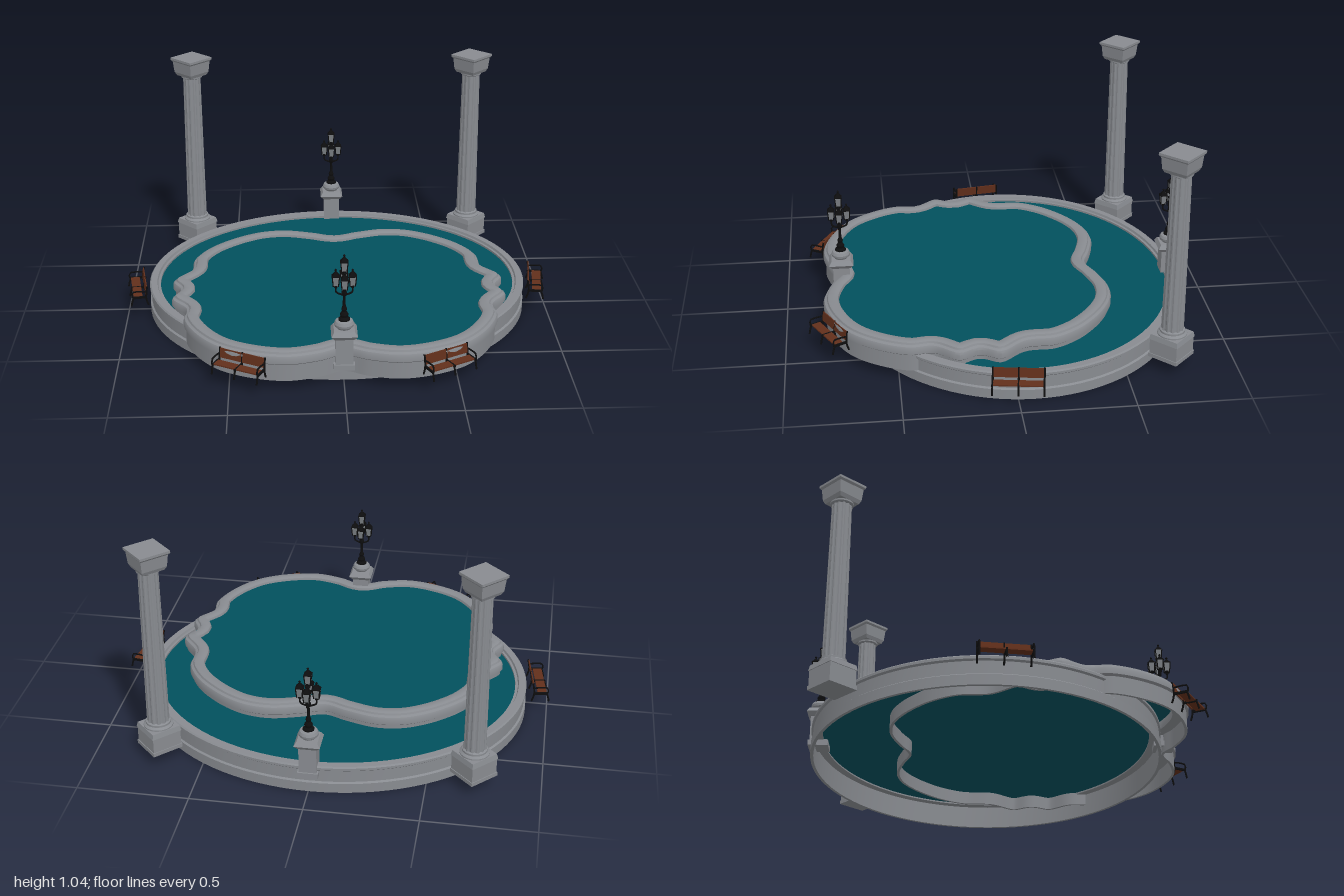
import * as THREE from 'three';
import { toCreasedNormals } from 'three/addons/utils/BufferGeometryUtils.js';

const mat = (name, color, extra = {}) => {
  const m = new THREE.MeshStandardMaterial({ color, ...extra });
  m.name = name;
  return m;
};

export function createModel() {
  const stone = mat('stone', 0x888b90);
  const water = mat('water', 0x02505d, { side: THREE.DoubleSide });
  const iron = mat('black iron', 0x0d0d0e);
  const wood = mat('wood', 0x622f1b);
  const glass = mat('lantern glass', 0x7a7e82);

  const model = new THREE.Group();
  model.name = 'fountain';

  const add = (parent, name, geo, material, x = 0, y = 0, z = 0) => {
    const m = new THREE.Mesh(geo, material);
    m.name = name;
    m.position.set(x, y, z);
    parent.add(m);
    return m;
  };
  const group = (name, x = 0, y = 0, z = 0, ry = 0) => {
    const g = new THREE.Group();
    g.name = name;
    g.position.set(x, y, z);
    g.rotation.y = ry;
    model.add(g);
    return g;
  };
  const box = (w, h, d) => new THREE.BoxGeometry(w, h, d);
  const crease = (g, a = 0.6) => toCreasedNormals(g, a);
  const lathe = (pts, n) =>
    crease(new THREE.LatheGeometry(pts.map(([r, y]) => new THREE.Vector2(r, y)), n));

  // Closed wall: a profile of [inset, y] points swept round an outline of [x, z] points
  const inset = (pts, d) => pts.map(([x, z], i) => {
    const a = pts[(i + pts.length - 1) % pts.length], b = pts[(i + 1) % pts.length];
    const tx = b[0] - a[0], tz = b[1] - a[1], l = Math.hypot(tx, tz);
    return [x - (tz / l) * d, z + (tx / l) * d];
  });
  const wall = (outline, profile) => {
    const n = outline.length, idx = [];
    const pos = profile.flatMap(([d, y]) => inset(outline, d).flatMap(([x, z]) => [x, y, z]));
    for (let j = 0; j < profile.length; j++) {
      const k = (j + 1) % profile.length;
      for (let i = 0; i < n; i++) {
        const i2 = (i + 1) % n;
        idx.push(j * n + i, k * n + i, j * n + i2, j * n + i2, k * n + i, k * n + i2);
      }
    }
    const g = new THREE.BufferGeometry();
    g.setAttribute('position', new THREE.Float32BufferAttribute(pos, 3));
    g.setIndex(idx);
    return crease(g);
  };
  // Flat water filling an outline
  const pool = (name, outline, d, y) => {
    const shape = new THREE.Shape(inset(outline, d).map(([x, z]) => new THREE.Vector2(x, -z)));
    add(model, name, new THREE.ShapeGeometry(shape).rotateX(-Math.PI / 2), water, 0, y, 0);
  };

  // Lower oval basin, a hollow shell with an overhanging rim
  const oval = Array.from({ length: 96 }, (_, i) => {
    const a = (i / 96) * Math.PI * 2;
    return [0.9 * Math.cos(a), -0.073 + 0.793 * Math.sin(a)];
  });
  add(model, 'lowerBasinWall', wall(oval, [
    [0, 0], [0, 0.046], [0.008, 0.052], [0.008, 0.108], [0, 0.115], [0, 0.126], [0.006, 0.132],
    [0.036, 0.132], [0.04, 0.122], [0.052, 0.122], [0.052, 0.105], [0.014, 0.105], [0.014, 0]]), stone);
  pool('lowerWater', oval, 0.045, 0.112);

  // Upper lobed basin, a thin wall with a broad rounded rim
  const half = [[0.1, -0.47], [0.24, -0.505], [0.36, -0.493], [0.46, -0.448], [0.555, -0.378],
    [0.63, -0.3], [0.69, -0.19], [0.7, -0.06], [0.78, 0.06], [0.74, 0.15], [0.775, 0.24], [0.703, 0.35],
    [0.708, 0.45], [0.65, 0.59], [0.545, 0.715], [0.39, 0.795], [0.24, 0.822], [0.1, 0.79]];
  const mirrored = half.map(([x, z]) => [-x, z]).reverse();
  const curve = new THREE.CatmullRomCurve3(
    [[0, -0.435], ...half, [0, 0.745], ...mirrored].map(([x, z]) => new THREE.Vector3(x, 0, z)), true);
  const lobes = curve.getSpacedPoints(220).slice(0, 220).map(p => [p.x, p.z]);
  add(model, 'upperBasinWall', wall(lobes, [
    [0.01, 0.052], [0.01, 0.13], [0, 0.138], [0, 0.162], [0.005, 0.172], [0.016, 0.178],
    [0.02, 0.186], [0.028, 0.19], [0.055, 0.19], [0.067, 0.184], [0.072, 0.172], [0.072, 0.135],
    [0.022, 0.135], [0.022, 0.052]]), stone);
  pool('upperWater', lobes, 0.06, 0.173);

  // Square blocks, straight or tapered
  const square = (bottom, top, h) => {
    const g = new THREE.CylinderGeometry(top * Math.SQRT1_2, bottom * Math.SQRT1_2, h, 4)
      .rotateY(Math.PI / 4).toNonIndexed();
    g.computeVertexNormals();
    return g;
  };
  const block = (parent, name, bottom, top, y0, y1, material = stone) =>
    add(parent, name, square(bottom, top, y1 - y0), material, 0, (y0 + y1) / 2, 0);

  // Fluted columns, turned 45 degrees
  const shaftGeo = () => {
    const g = new THREE.CylinderGeometry(0.044, 0.05, 0.76, 48, 1, true);
    const p = g.attributes.position;
    for (let i = 0; i < p.count; i++) {
      const f = [1, 1, 0.93, 0.93][(i % 49) % 4];
      p.setX(i, p.getX(i) * f);
      p.setZ(i, p.getZ(i) * f);
    }
    return crease(g, 0.3);
  };
  for (const s of [-1, 1]) {
    const c = group(s > 0 ? 'leftColumn' : 'rightColumn', s * 0.703, 0, -0.705, Math.PI / 4);
    block(c, 'plinthFoot', 0.146, 0.146, 0.06, 0.078);
    block(c, 'plinth', 0.139, 0.139, 0.078, 0.148);
    block(c, 'plinthTop', 0.146, 0.136, 0.148, 0.172);
    add(c, 'shaftBase', lathe([[0.066, 0.17], [0.066, 0.178], [0.056, 0.186], [0.056, 0.195], [0.046, 0.2]], 24), stone);
    add(c, 'shaft', shaftGeo(), stone, 0, 0.57, 0);
    add(c, 'neck', lathe([[0.04, 0.935], [0.052, 0.942], [0.052, 0.952], [0.04, 0.955]], 24), stone);
    block(c, 'capitalLower', 0.104, 0.12, 0.95, 0.967);
    block(c, 'capitalBell', 0.12, 0.13, 0.967, 1.022);
    block(c, 'capitalSlab', 0.132, 0.145, 1.022, 1.03);
    block(c, 'capitalTop', 0.145, 0.145, 1.03, 1.041);
  }

  // Lantern: square tapered glass in an iron frame
  const lantern = (parent, x, y, z) => {
    const l = new THREE.Group();
    l.name = 'lantern';
    l.position.set(x, y, z);
    parent.add(l);
    block(l, 'glass', 0.022, 0.031, 0.012, 0.058, glass);
    add(l, 'cup', lathe([[0, 0], [0.006, 0.002], [0.007, 0.007], [0.014, 0.012], [0.014, 0.016], [0, 0.016]], 8), iron);
    block(l, 'roofEdge', 0.034, 0.034, 0.056, 0.06, iron);
    block(l, 'roof', 0.03, 0.01, 0.06, 0.076, iron);
    add(l, 'finial', lathe([[0.004, 0.075], [0.003, 0.08], [0.006, 0.085], [0, 0.092]], 8), iron);
    for (const sx of [-1, 1]) for (const sz of [-1, 1]) {
      const path = new THREE.LineCurve3(new THREE.Vector3(sx * 0.011, 0.012, sz * 0.011),
        new THREE.Vector3(sx * 0.0155, 0.058, sz * 0.0155));
      add(l, 'rib', new THREE.TubeGeometry(path, 1, 0.0024, 4), iron);
    }
  };

  // Pedestals with five-lantern lamps
  for (const [name, z] of [['frontLamp', 0.735], ['backLamp', -0.838]]) {
    const g = group(name, 0, 0, z);
    block(g, 'pedestalFoot', 0.092, 0.092, 0.08, 0.105);
    block(g, 'pedestalBody', 0.078, 0.078, 0.105, 0.225);
    block(g, 'pedestalMoulding', 0.082, 0.114, 0.225, 0.245);
    block(g, 'pedestalCap', 0.114, 0.09, 0.245, 0.265);
    add(g, 'pedestalVase', lathe([[0.03, 0.262], [0.032, 0.268], [0.042, 0.277], [0.044, 0.288],
      [0.038, 0.3], [0.022, 0.305], [0, 0.305]], 16), stone);
    add(g, 'lampPost', lathe([[0.026, 0.302], [0.026, 0.31], [0.016, 0.318], [0.019, 0.33], [0.01, 0.345],
      [0.013, 0.355], [0.007, 0.37], [0.006, 0.415], [0.012, 0.425], [0.012, 0.435], [0.006, 0.445],
      [0.006, 0.51], [0.011, 0.516], [0, 0.525]], 10), iron);
    for (let i = 0; i < 4; i++) {
      const a = (i * Math.PI) / 2, sx = Math.sin(a), cz = Math.cos(a);
      const arm = new THREE.CatmullRomCurve3([[0, 0.42], [0.018, 0.426], [0.034, 0.435], [0.037, 0.458]]
        .map(([r, y]) => new THREE.Vector3(sx * r, y, cz * r)));
      add(g, 'lampArm', new THREE.TubeGeometry(arm, 8, 0.004, 6), iron);
      lantern(g, sx * 0.036, 0.453, cz * 0.036);
    }
    lantern(g, 0, 0.52, 0);
  }

  // Benches facing away from the water
  const bench = (name, x, z, ry) => {
    const b = group(name, x, 0, z, ry);
    const bar = (n, X, pts, r) => add(b, n, new THREE.TubeGeometry(
      new THREE.CatmullRomCurve3(pts.map(([Z, Y]) => new THREE.Vector3(X, Y, Z))), 6, r, 5), iron);
    for (const X of [-0.055, 0.055]) {
      add(b, 'seatBoard', box(0.104, 0.006, 0.042), wood, X, 0.121, 0.008);
      add(b, 'backBoard', box(0.104, 0.044, 0.005), wood, X, 0.15, -0.031).rotation.x = -0.12;
    }
    for (const X of [-0.11, 0, 0.11]) {
      bar('frontLeg', X, [[0.03, 0.118], [0.036, 0.1], [0.041, 0.078]], 0.0045);
      bar('backLeg', X, [[-0.04, 0.078], [-0.032, 0.1], [-0.029, 0.125], [-0.037, 0.175]], 0.0045);
      add(b, 'seatRail', box(0.008, 0.01, 0.064), iron, X, 0.119, 0.003);
      if (X) bar('armRest', X, [[-0.034, 0.147], [0, 0.15], [0.034, 0.146], [0.034, 0.12]], 0.004);
    }
  };
  for (const s of [-1, 1]) {
    const side = s > 0 ? 'left' : 'right';
    bench(side + 'SideBench', s * 0.951, 0.008, s * 1.42);
    bench(side + 'FrontBench', s * 0.455, 0.802, s * 0.49);
  }
  return model;
}
